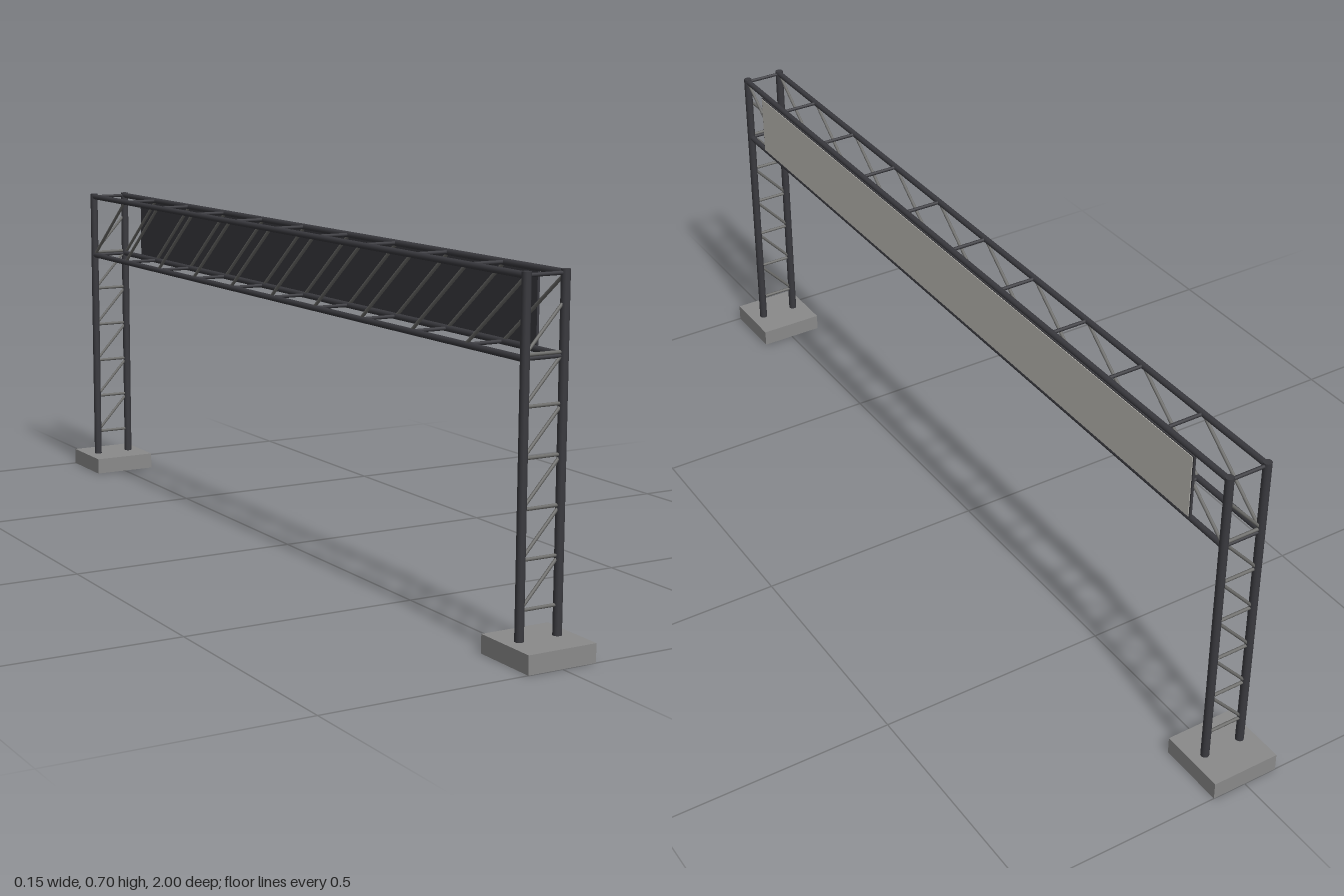
import * as THREE from 'three';

const steel = new THREE.MeshStandardMaterial({ color: 0x3a3a3f });
steel.name = 'dark steel';
const brace = new THREE.MeshStandardMaterial({ color: 0x6c6c6a });
brace.name = 'grey brace steel';
const concrete = new THREE.MeshStandardMaterial({ color: 0x8a8a8a });
concrete.name = 'concrete';
const signFace = new THREE.MeshStandardMaterial({ color: 0xc6c4be });
signFace.name = 'pale sign face';

const X = 0.042, Z = 0.926;            // column centre lines
const TOP = 0.696, BOTTOM = 0.549;     // truss chord heights

// Round bar between two points
function bar(parent, name, a, b, radius, material, sides = 8) {
  const from = new THREE.Vector3(...a), to = new THREE.Vector3(...b);
  const dir = to.clone().sub(from);
  const mesh = new THREE.Mesh(new THREE.CylinderGeometry(radius, radius, dir.length(), sides), material);
  mesh.position.copy(from).add(to).multiplyScalar(0.5);
  mesh.quaternion.setFromUnitVectors(new THREE.Vector3(0, 1, 0), dir.normalize());
  mesh.name = name;
  parent.add(mesh);
}

function box(parent, name, size, pos, material) {
  const mesh = new THREE.Mesh(new THREE.BoxGeometry(...size), material);
  mesh.position.set(...pos);
  mesh.name = name;
  parent.add(mesh);
}

// Ladder tower on a concrete footing
function tower(z) {
  const g = new THREE.Group();
  g.name = 'tower';
  box(g, 'footing', [0.148, 0.037, 0.146], [0, 0.0185, Math.sign(z) * 0.927], concrete);
  for (const x of [-X, X]) bar(g, 'column', [x, 0.03, z], [x, 0.703, z], 0.0088, steel, 12);
  const step = 0.0923;
  for (let i = 0; i < 6; i++) {
    const y = 0.0945 + i * step;
    bar(g, 'rung', [-X, y, z], [X, y, z], 0.0035, brace);
    bar(g, 'towerDiagonal', [-X, y, z], [X, y + step, z], 0.0033, brace);
  }
  return g;
}

// Box truss spanning the towers
function truss() {
  const g = new THREE.Group();
  g.name = 'truss';
  const bays = 10, step = 2 * Z / bays;
  for (const x of [-X, X]) {
    for (const y of [BOTTOM, TOP]) bar(g, 'chord', [x, y, -Z], [x, y, Z], 0.0065, steel, 10);
    for (let i = 0; i < bays; i++) {
      const z = -Z + i * step;
      bar(g, 'trussDiagonal', [x, BOTTOM, z], [x, TOP, z + step], 0.0035, brace);
    }
  }
  for (let i = 0; i <= bays; i++) {
    const z = -Z + i * step;
    for (const y of [BOTTOM, TOP]) bar(g, 'crossBar', [-X, y, z], [X, y, z], 0.0038, steel);
  }
  return g;
}

export function createModel() {
  const model = new THREE.Group();
  model.name = 'signGantry';
  model.add(tower(Z), tower(-Z), truss());

  // Blank sign: dark backing with a thin pale face
  const sign = new THREE.Group();
  sign.name = 'sign';
  box(sign, 'signBacking', [0.005, 0.137, 1.675], [0.0468, 0.623, 0.003], steel);
  box(sign, 'signFace', [0.0015, 0.133, 1.669], [0.0498, 0.623, 0.003], signFace);
  model.add(sign);
  return model;
}
